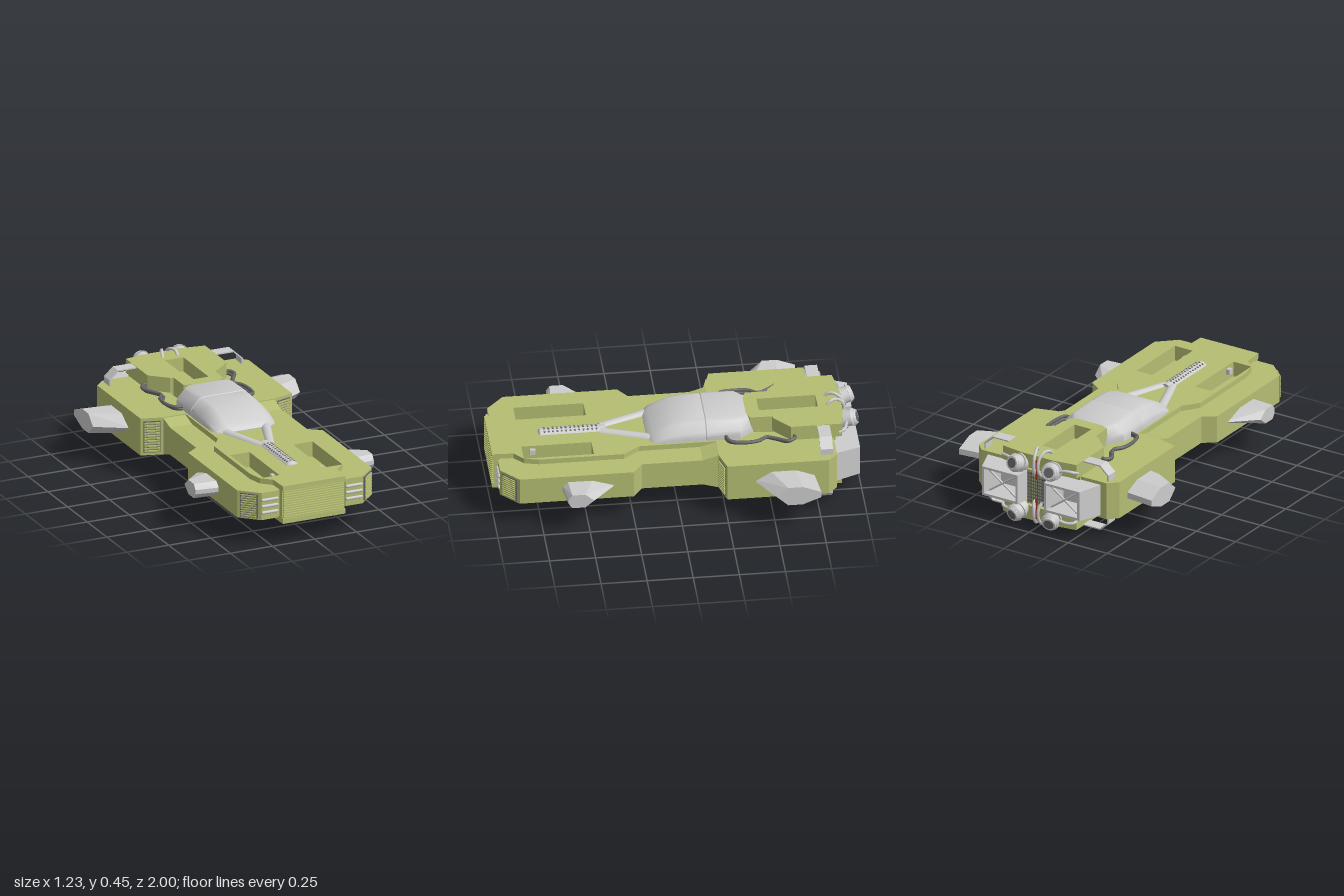
import * as THREE from 'three';
import { toCreasedNormals } from 'three/addons/utils/BufferGeometryUtils.js';
import { ConvexGeometry } from 'three/addons/geometries/ConvexGeometry.js';

const MID = 0.222; // height of the horizontal mirror plane
const mat = (color) => new THREE.MeshStandardMaterial({ color, side: THREE.DoubleSide });
const GREY = mat(0xcccccc), GREEN = mat(0xb5bd72), DARK = mat(0x666666), RED = mat(0xb03018);
const V = (x, y, z) => new THREE.Vector3(x, y, z);

export function createModel() {
  const root = new THREE.Group();
  root.name = 'racer';

  // Mirror a geometry across x and/or the mid plane, keeping faces outward
  function flip(geo, sx, sy) {
    const g = geo.index ? geo.toNonIndexed() : geo.clone();
    g.translate(0, -MID, 0).scale(sx, sy, 1).translate(0, MID, 0);
    if (sx * sy < 0) {
      for (const a of Object.values(g.attributes)) {
        for (let i = 0; i < a.count; i += 3) {
          for (let k = 0; k < a.itemSize; k++) {
            const t = a.getComponent(i + 1, k);
            a.setComponent(i + 1, k, a.getComponent(i + 2, k));
            a.setComponent(i + 2, k, t);
          }
        }
      }
    }
    return g;
  }

  // sides: any of 'x' (left and right) and 'y' (top and underside)
  function add(name, geo, material, sides = '') {
    for (const sx of sides.includes('x') ? [1, -1] : [1]) {
      for (const sy of sides.includes('y') ? [1, -1] : [1]) {
        const m = new THREE.Mesh(sx * sy * (sx + sy) === 2 ? geo : flip(geo, sx, sy), material);
        m.name = name;
        root.add(m);
      }
    }
  }

  const box = (w, h, d, x, y, z, ry = 0) => new THREE.BoxGeometry(w, h, d).rotateY(ry).translate(x, y, z);
  const tube = (pts, r, n = 24) =>
    new THREE.TubeGeometry(new THREE.CatmullRomCurve3(pts.map((p) => V(...p))), n, r, 8);
  const rod = (a, b, r1, r2, n = 16) => {
    const d = V(...b).sub(V(...a));
    const q = new THREE.Quaternion().setFromUnitVectors(V(0, 1, 0), d.clone().normalize());
    return new THREE.CylinderGeometry(r2, r1, d.length(), n).applyQuaternion(q)
      .translate(a[0] + d.x / 2, a[1] + d.y / 2, a[2] + d.z / 2);
  };

  // Slab between two heights from a half outline of [x, z] points
  function slab(half, y0, y1, holes = []) {
    const v2 = ([x, z]) => new THREE.Vector2(x, -z);
    const all = [...half, ...half.map(([x, z]) => [-x, z]).reverse()];
    const s = new THREE.Shape(all.map(v2));
    for (const h of holes) s.holes.push(new THREE.Path(h.map(v2)));
    return new THREE.ExtrudeGeometry(s, { depth: y1 - y0, bevelEnabled: false })
      .rotateX(-Math.PI / 2).translate(0, y0, 0);
  }
  const bothSides = (h) => [h, h.map(([x, z]) => [-x, z])];
  const rect = (x0, x1, z0, z1) => [[x0, z0], [x1, z0], [x1, z1], [x0, z1]];

  // Front hull with recessed pits, built in layers
  const hull = [[0.19, 0.95], [0.2, 0.965], [0.3, 0.965], [0.4, 0.87], [0.4, 0.25], [0.33, 0.2], [0.33, -0.26]];
  const deck = [[0.185, 0.995], [0.19, 0.88], [0.245, 0.83], [0.265, 0.75], [0.265, 0.29], [0.2, 0.2], [0.2, -0.3]];
  const pits = bothSides(rect(0.13, 0.245, 0.45, 0.83));
  add('frontHullCore', slab(hull, 0.2, 0.244), GREEN);
  add('frontHull', slab(hull, 0.244, 0.3, pits), GREEN, 'y');
  add('frontDeck', slab(deck, 0.3, 0.33, pits), GREEN, 'y');
  add('pitLatch', box(0.02, 0.03, 0.03, 0.142, 0.3, 0.77), GREY, 'xy');

  // Nose grille
  add('noseBlock', box(0.37, 0.2, 0.1, 0, MID, 0.935), GREEN);
  for (let i = 0; i < 14; i++) {
    add('grilleSlat', box(0.36, 0.007, 0.012, 0, 0.137 + i * 0.0131, 0.991), GREEN);
  }

  // Headlight bars and corner vents
  for (let i = -1; i <= 1; i++) {
    add('headlightBar', new THREE.CapsuleGeometry(0.009, 0.085, 4, 10).rotateZ(Math.PI / 2)
      .translate(0.25, MID + i * 0.036, 0.968), GREY, 'x');
  }
  const turn = Math.atan2(0.095, 0.1);
  add('cornerVentPanel', box(0.1, 0.135, 0.006, 0.352, MID, 0.92, turn), DARK, 'x');
  for (let i = 0; i < 10; i++) {
    add('cornerVentSlat', box(0.09, 0.007, 0.014, 0.354, 0.163 + i * 0.0131, 0.922, turn), GREEN, 'x');
  }

  // Rear hull, with narrow slots beside the neck
  const rear = [[0.33, -0.215], [0.45, -0.25], [0.45, -0.8], [0.4, -0.85]];
  const slots = bothSides([[0.122, -0.53], [0.146, -0.53], [0.136, -0.41], [0.122, -0.41]]);
  add('rearHull', slab(rear, 0.117, 0.33, slots), GREEN);
  add('hullShoulder', new ConvexGeometry([0.2, 0.33].flatMap((x) =>
    [V(x, 0.29, -0.13), V(x, 0.3, -0.13), V(x, 0.33, -0.23), V(x, 0.29, -0.23)])), GREEN, 'xy');
  add('shoulderBracket', box(0.015, 0.13, 0.06, 0.322, MID, -0.17), GREEN, 'x');
  const tilt = Math.atan2(0.035, 0.12);
  add('intakePanel', box(0.09, 0.18, 0.004, 0.39, MID, -0.232, tilt), DARK, 'x');
  for (let i = 0; i < 12; i++) {
    add('intakeSlat', box(0.085, 0.008, 0.014, 0.391, 0.142 + i * 0.0145, -0.229, tilt), GREEN, 'x');
  }

  // Raised rear spine with its pit
  const spine = [[0.05, -0.385], [0.12, -0.41], [0.122, -0.53], [0.14, -0.535], [0.235, -0.62],
    [0.235, -0.895], [0.1, -0.915]];
  const spineLow = [...spine.slice(0, 5), [0.235, -0.86]];
  add('spineCore', slab(spineLow, 0.11, 0.334), GREEN);
  add('spine', slab(spine, 0.334, 0.415, [rect(-0.055, 0.055, -0.785, -0.465)]), GREEN, 'y');

  // Engine cowl: chamfered cross-sections [z, half width, top height]
  const cowl = [[0.15, 0.135, 0.335], [0.14, 0.155, 0.347], [0.115, 0.18, 0.364], [0.06, 0.188, 0.395],
    [0, 0.19, 0.417], [-0.06, 0.19, 0.426], [-0.16, 0.19, 0.43], [-0.165, 0.187, 0.427], [-0.17, 0.19, 0.431],
    [-0.35, 0.19, 0.427], [-0.41, 0.142, 0.41], [-0.43, 0.12, 0.35]];
  const pos = [];
  const ring = ([z, w, h]) => {
    const d = h - 0.3;
    const side = [[w, 0.3], [w, 0.3 + d * 0.42], [w * 0.96, 0.3 + d * 0.58], [w * 0.74, 0.3 + d * 0.93], [w * 0.62, h]];
    return [...side, ...side.map(([x, y]) => [-x, y]).reverse()].map(([x, y]) => [x, y, z]);
  };
  const rings = cowl.map(ring);
  for (let i = 0; i + 1 < rings.length; i++) {
    for (let j = 0; j < 9; j++) {
      const [a, b, c, d] = [rings[i][j], rings[i][j + 1], rings[i + 1][j + 1], rings[i + 1][j]];
      pos.push(...a, ...c, ...b, ...a, ...d, ...c);
    }
  }
  for (let j = 1; j < 9; j++) {
    pos.push(...rings[0][0], ...rings[0][j], ...rings[0][j + 1]);
    const e = rings.at(-1);
    pos.push(...e[0], ...e[j + 1], ...e[j]);
  }
  const cowlGeo = new THREE.BufferGeometry();
  cowlGeo.setAttribute('position', new THREE.Float32BufferAttribute(pos, 3));
  add('engineCowl', toCreasedNormals(cowlGeo, 0.6), GREY, 'y');

  // Y-shaped exhaust manifold and perforated barrel
  add('manifoldPipe', rod([0.125, 0.318, 0.11], [0.022, 0.315, 0.39], 0.03, 0.028), GREY, 'xy');
  add('barrel', rod([0, 0.304, 0.36], [0, 0.304, 0.715], 0.043, 0.043, 20), GREY, 'y');
  add('barrelEnd', new THREE.SphereGeometry(0.043, 16, 10).scale(1, 1, 0.4).translate(0, 0.304, 0.712), GREY, 'y');
  for (let i = 0; i < 13; i++) {
    for (const a of [-0.5, 0, 0.5]) {
      add('barrelHole', new THREE.CylinderGeometry(0.006, 0.006, 0.004, 8).translate(0, 0.0425, 0)
        .rotateZ(a).translate(0, 0.304, 0.41 + i * 0.0235), DARK, 'y');
    }
  }

  // Fins: section points [z, y] at root and tip
  function fin(name, x0, x1, rootPts, tipPts) {
    const pts = [...rootPts.map(([z, y]) => V(x0, y, z)), ...tipPts.map(([z, y]) => V(x1, y, z))];
    add(name, new ConvexGeometry(pts), GREY, 'x');
  }
  const section = (front, f1, r1, back, h) => [[front, MID], [f1, MID + h], [r1, MID + h],
    [back, MID + h * 0.3], [back, MID - h * 0.3], [r1, MID - h], [f1, MID - h]];
  fin('frontFin', 0.38, 0.53, section(0.34, 0.47, 0.61, 0.64, 0.041), section(0.48, 0.53, 0.6, 0.62, 0.041));
  fin('rearFin', 0.43, 0.615, section(-0.39, -0.48, -0.62, -0.72, 0.056), section(-0.5, -0.56, -0.64, -0.74, 0.056));

  // Bent strap brackets at the rear corners
  const strap = [[0.235, 0.413], [0.345, 0.413], [0.397, 0.365], [0.397, 0.325],
    [0.389, 0.325], [0.389, 0.361], [0.341, 0.406], [0.235, 0.406]];
  add('strapBracket', new THREE.ExtrudeGeometry(new THREE.Shape(strap.map((p) => new THREE.Vector2(...p))),
    { depth: 0.068, bevelEnabled: false }).translate(0, 0, -0.828), GREY, 'xy');

  // Twin hoses running from the spine to the cowl
  const hose = [[0.2, 0.355, -0.625], [0.25, 0.357, -0.64], [0.272, 0.352, -0.605], [0.235, 0.346, -0.54],
    [0.215, 0.346, -0.49], [0.245, 0.346, -0.44], [0.252, 0.346, -0.36], [0.235, 0.35, -0.29], [0.18, 0.35, -0.27]];
  add('hose', tube(hose, 0.01, 50), DARK, 'xy');
  add('innerHose', tube(hose.map(([x, y, z]) => [x - 0.012, y - 0.012, z + 0.004]), 0.009, 50), DARK, 'xy');

  // Square engine nozzles: tapered frame around a sunken, cross-braced core
  const corner = (x0, x1, h, z) => [V(x0, MID - h, z), V(x1, MID - h, z), V(x1, MID + h, z), V(x0, MID + h, z)];
  const loops = [corner(0.07, 0.365, 0.09, -0.84), corner(0.085, 0.312, 0.085, -0.985),
    corner(0.098, 0.298, 0.072, -0.985), corner(0.15, 0.25, 0.035, -0.89)];
  const np = [];
  const quad = (a, b, c, d) => [a, b, c, a, c, d].forEach((p) => np.push(p.x, p.y, p.z));
  for (let i = 0; i < 3; i++) {
    for (let j = 0; j < 4; j++) {
      const k = (j + 1) % 4;
      quad(loops[i][j], loops[i + 1][j], loops[i + 1][k], loops[i][k]);
    }
  }
  const [c0, c1, c2, c3] = loops[3];
  quad(c0, c3, c2, c1);
  const nozzle = new THREE.BufferGeometry();
  nozzle.setAttribute('position', new THREE.Float32BufferAttribute(np, 3));
  nozzle.computeVertexNormals();
  add('engineNozzle', nozzle, GREY, 'x');
  const inner = loops[2].map((p) => [p.x, p.y, -0.955]);
  add('nozzleBrace', rod(inner[0], inner[2], 0.006, 0.006, 6), GREY, 'x');
  add('nozzleBrace', rod(inner[1], inner[3], 0.006, 0.006, 6), GREY, 'x');

  // Mesh panel between the nozzles
  add('rearPanel', box(0.14, 0.2, 0.07, 0, MID, -0.875), GREEN);
  for (let i = 0; i < 9; i++) {
    add('panelBar', box(0.13, 0.005, 0.008, 0, 0.142 + i * 0.02, -0.912), DARK);
    add('panelPost', box(0.005, 0.18, 0.008, -0.056 + i * 0.014, MID, -0.912), DARK);
  }
  add('redLine', tube([[0, 0.395, -0.925], [0, 0.35, -0.925], [0, 0.28, -0.92]], 0.005), RED, 'y');

  // Exhaust stubs and the pipes around them
  const from = [0.1, 0.352, -0.9], to = [0.118, 0.376, -0.99];
  const along = (t) => from.map((v, i) => v + (to[i] - v) * t);
  add('exhaustStub', rod(from, along(0.9), 0.045, 0.045), GREY, 'xy');
  add('exhaustCollar', rod(along(0.3), along(0.42), 0.053, 0.053), GREY, 'xy');
  add('exhaustRim', rod(along(0.75), to, 0.052, 0.038), GREY, 'xy');
  add('exhaustBore', rod(along(0.98), along(1.01), 0.028, 0.028), DARK, 'xy');
  add('crossPipe', tube([[0.045, 0.405, -0.83], [0.04, 0.433, -0.855], [0.025, 0.434, -0.89],
    [0.015, 0.4, -0.925], [0.016, 0.33, -0.93], [0.03, 0.29, -0.9]], 0.009), GREY, 'xy');
  add('sidePipe', tube([[0.13, 0.36, -0.93], [0.18, 0.375, -0.925], [0.225, 0.372, -0.91], [0.235, 0.36, -0.88]],
    0.009), GREY, 'xy');
  return root;
}
